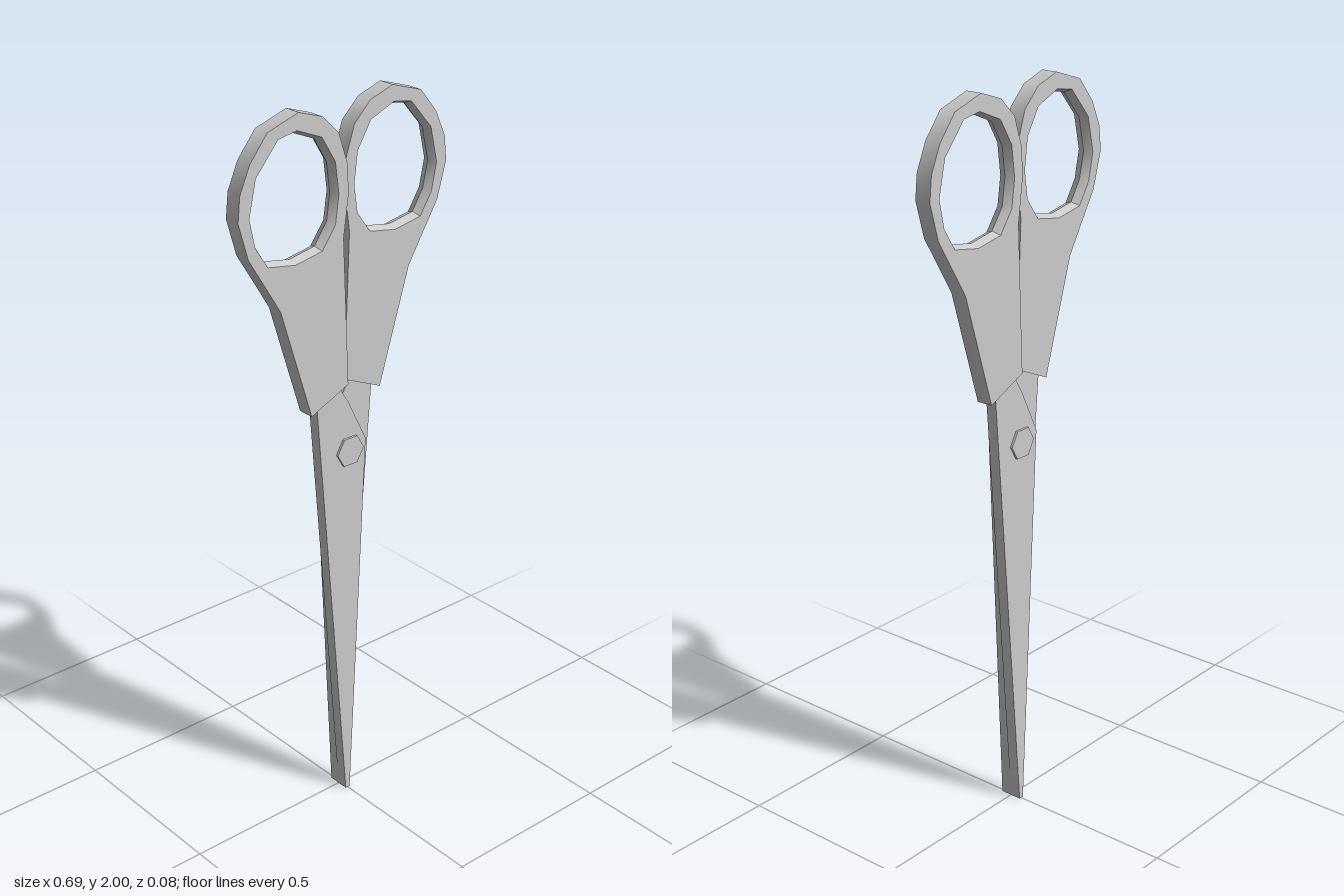
import * as THREE from 'three';
import { toCreasedNormals } from 'three/addons/utils/BufferGeometryUtils.js';

const material = new THREE.MeshStandardMaterial({ color: 0xcccccc });
const points = (list) => list.map(([x, y]) => new THREE.Vector2(x, y));

function plate(shape, z0, z1, steps = 1) {
  const g = new THREE.ExtrudeGeometry(shape, { depth: z1 - z0, steps, bevelEnabled: false });
  return g.translate(0, 0, z0);
}

function part(geometry, name) {
  const mesh = new THREE.Mesh(geometry, material);
  mesh.name = name;
  return mesh;
}

// Handle: tapered grip running into a finger ring
function handleGeometry() {
  const shape = new THREE.Shape(points([
    [-0.127, 1.206], [-0.006, 1.26], [-0.022, 1.656], [-0.006, 1.77], [-0.01, 1.845],
    [-0.037, 1.926], [-0.088, 1.976], [-0.16, 2], [-0.254, 1.97], [-0.307, 1.905],
    [-0.338, 1.836], [-0.345, 1.77], [-0.317, 1.672], [-0.265, 1.587], [-0.222, 1.515],
  ]));
  const hole = points([
    [-0.165, 1.957], [-0.222, 1.947], [-0.29, 1.868], [-0.312, 1.773], [-0.296, 1.698],
    [-0.259, 1.64], [-0.174, 1.625], [-0.09, 1.64], [-0.048, 1.698], [-0.037, 1.773],
    [-0.048, 1.857], [-0.09, 1.926],
  ]);
  shape.holes.push(new THREE.Path(hole));
  const z0 = -0.0085, z1 = 0.0375, mid = (z0 + z1) / 2;
  const g = plate(shape, z0, z1, 2);

  // Narrow the hole halfway through, so that its rim is chamfered on both sides
  const p = g.attributes.position;
  for (let i = 0; i < p.count; i++) {
    const x = p.getX(i), y = p.getY(i);
    const onHole = hole.some((h) => Math.hypot(h.x - x, h.y - y) < 1e-4);
    if (onHole && Math.abs(p.getZ(i) - mid) < 1e-4) {
      p.setXY(i, -0.174 + (x + 0.174) * 0.93, 1.787 + (y - 1.787) * 0.945);
    }
  }
  return toCreasedNormals(g, 0.6);
}

// Blade: long taper, with its tang hidden in the handle
function bladeGeometry() {
  const shape = new THREE.Shape(points([
    [-0.007, 0], [0.007, 0], [0.059, 1.085], [0, 1.206], [-0.04, 1.27], [-0.04, 1.3],
    [-0.1, 1.3], [-0.105, 1.22],
  ]));
  return plate(shape, 0, 0.0315);
}

export function createModel() {
  const model = new THREE.Group();
  model.name = 'scissors';
  const handle = handleGeometry();
  const blade = bladeGeometry();

  // The two halves are the same piece, one turned half round
  ['front', 'rear'].forEach((side, i) => {
    const half = new THREE.Group();
    half.name = side + 'Half';
    half.add(part(handle, side + 'Handle'), part(blade, side + 'Blade'));
    half.rotation.y = i * Math.PI;
    model.add(half);
  });

  // Six-sided pivot through both blades
  const pivot = new THREE.CylinderGeometry(0.044, 0.044, 0.076, 6, 1, false, Math.PI / 6);
  pivot.rotateX(Math.PI / 2).translate(0.003, 1.067, 0);
  model.add(part(toCreasedNormals(pivot, 0.5), 'pivotScrew'));
  return model;
}
